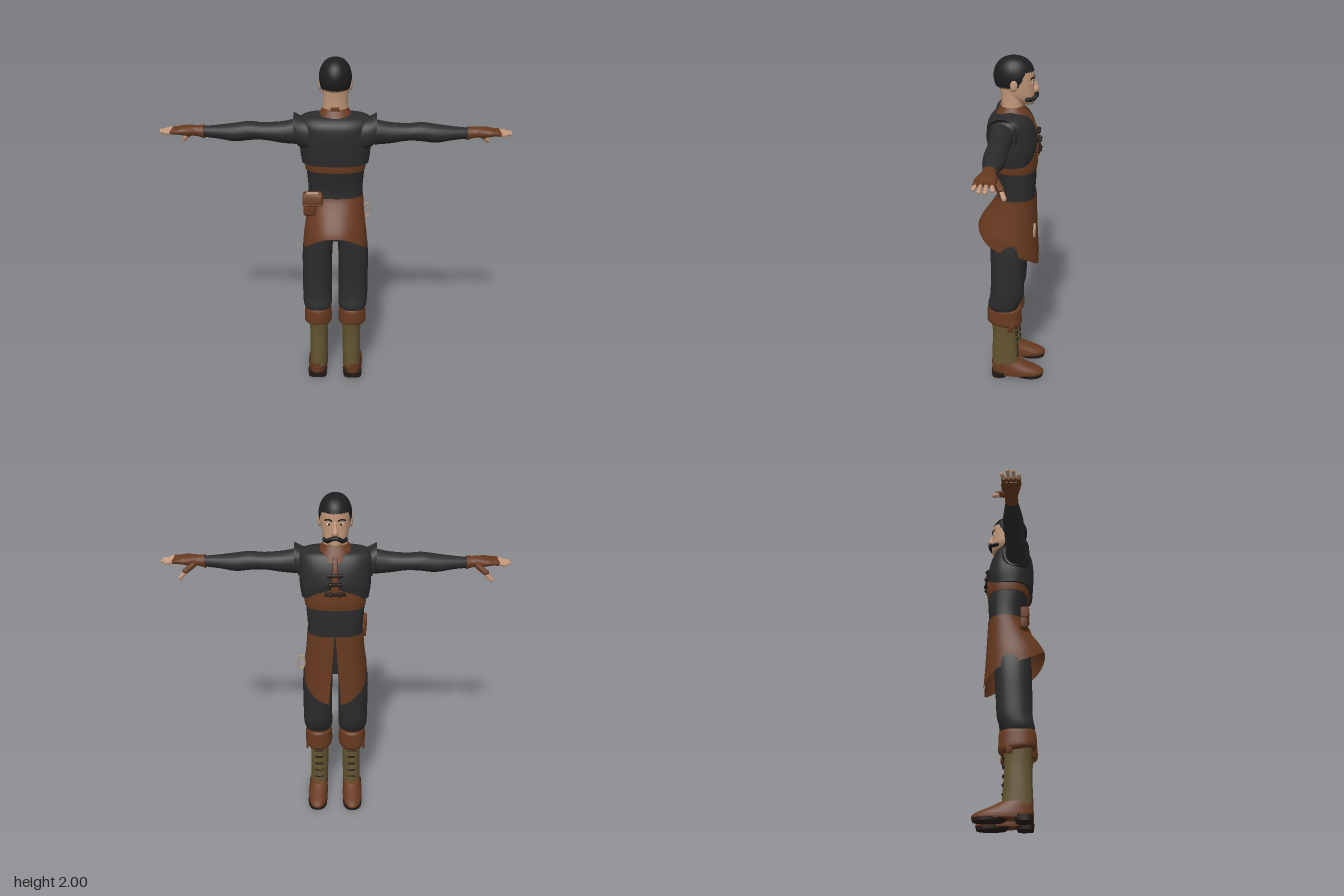
import * as THREE from 'three';
import { toCreasedNormals, mergeVertices } from 'three/addons/utils/BufferGeometryUtils.js';
import { RoundedBoxGeometry } from 'three/addons/geometries/RoundedBoxGeometry.js';

const paint = (name, color, side = THREE.FrontSide) =>
  Object.assign(new THREE.MeshStandardMaterial({ color, side }), { name });

const black = paint('black cloth', 0x2b2b2c, THREE.DoubleSide);
const brown = paint('brown leather', 0x67391f, THREE.DoubleSide);
const olive = paint('olive boot leather', 0x62542f);
const skin = paint('skin', 0xc09678);
const hairMat = paint('hair', 0x1d1d1f, THREE.DoubleSide);
const dark = paint('dark leather', 0x241a15);
const metal = paint('pale brass', 0xb2977a);
const white = paint('eye white', 0xd8d2c8);

// Smooth interpolation of ring values at t in 0..1
function sample(rings, t) {
  const f = t * (rings.length - 1), i = Math.min(Math.floor(f), rings.length - 2), u = f - i;
  const r = k => rings[Math.max(0, Math.min(rings.length - 1, k))];
  return rings[i].map((_, k) => {
    const [a, b, c, d] = [r(i - 1)[k], r(i)[k], r(i + 1)[k], r(i + 2)[k]];
    return b + 0.5 * u * (c - a + u * (2 * a - 5 * b + 4 * c - d + u * (3 * (b - c) + d - a)));
  });
}

function flip(geo) {
  const ix = geo.index.array;
  for (let i = 0; i < ix.length; i += 3) [ix[i], ix[i + 1]] = [ix[i + 1], ix[i]];
  return geo;
}

// Skin over rounded rings [y, xMin, xMax, zMin, zMax]; with axis 'x' they are [x, yMin, yMax, zMin, zMax].
// gap(t) leaves a front opening (half angle), warp(v, t, s) adjusts points (s is 1 at back, -1 at front).
function loft(rings, { seg = 28, p = 2.3, sub = 4, cap = true, gap, warp, axis } = {}) {
  const rows = (rings.length - 1) * sub, pos = [], idx = [], v = new THREE.Vector3();
  const cols = gap ? seg + 1 : seg, bend = c => Math.sign(c) * Math.abs(c) ** (2 / p);
  for (let i = 0; i <= rows; i++) {
    const t = i / rows, [y, x0, x1, z0, z1] = sample(rings, t), g = gap ? gap(t) : 0;
    for (let j = 0; j < cols; j++) {
      const a = -Math.PI / 2 + g + (j / seg) * 2 * (Math.PI - g);
      v.set((x0 + x1) / 2 + (x1 - x0) / 2 * bend(Math.cos(a)), y, (z0 + z1) / 2 + (z1 - z0) / 2 * bend(Math.sin(a)));
      if (warp) warp(v, t, Math.sin(a));
      pos.push(...(axis === 'x' ? [v.y, v.x, v.z] : [v.x, v.y, v.z]));
    }
  }
  for (let i = 0; i < rows; i++) for (let j = 0; j < seg; j++) {
    const a = i * cols + j, b = i * cols + (j + 1) % cols;
    idx.push(a, a + cols, b, b, a + cols, b + cols);
  }
  if (cap) for (const row of [0, rows]) {
    const c = pos.length / 3, m = [0, 0, 0];
    for (let j = 0; j < cols; j++) for (let k = 0; k < 3; k++) m[k] += pos[(row * cols + j) * 3 + k] / cols;
    pos.push(...m);
    for (let j = 0; j < seg; j++) {
      const a = row * cols + j, b = row * cols + (j + 1) % cols;
      idx.push(c, ...(row ? [b, a] : [a, b]));
    }
  }
  const geo = new THREE.BufferGeometry();
  geo.setAttribute('position', new THREE.Float32BufferAttribute(pos, 3));
  geo.setIndex(idx);
  return axis === 'x' ? flip(geo) : geo;
}

const ball = (x, y, z, rx, ry, rz) => new THREE.SphereGeometry(1, 18, 12).scale(rx, ry, rz).translate(x, y, z);
const box = (x, y, z, w, h, d, r = 0.004) => new RoundedBoxGeometry(w, h, d, 2, r).translate(x, y, z);
const tube = (pts, r) => new THREE.TubeGeometry(new THREE.CatmullRomCurve3(pts.map(q => new THREE.Vector3(...q))), 20, r, 8);
function finger(a, b, r) {
  const p = new THREE.Vector3(...a), q = new THREE.Vector3(...b), d = q.clone().sub(p);
  const turn = new THREE.Quaternion().setFromUnitVectors(new THREE.Vector3(0, 1, 0), d.clone().normalize());
  const mid = p.add(q).multiplyScalar(0.5);
  return new THREE.CapsuleGeometry(r, d.length() - 2 * r, 4, 10).applyQuaternion(turn).translate(mid.x, mid.y, mid.z);
}

export function createModel() {
  const model = new THREE.Group();
  model.name = 'figure';
  const add = (name, mat, geo) => {
    geo.deleteAttribute('uv');
    geo.deleteAttribute('normal');
    const mesh = new THREE.Mesh(toCreasedNormals(mergeVertices(geo, 1e-5), 0.9), mat);
    mesh.name = name;
    model.add(mesh);
  };
  const pair = (name, mat, make) => {
    add(name + 'PlusX', mat, make());
    const g = make();
    add(name + 'MinusX', mat, flip((g.index ? g : mergeVertices(g)).scale(-1, 1, 1)));
  };

  // Torso: shirt, chest band and vest
  add('hips', black, loft([[0.95, -0.13, 0.13, -0.1, 0.1], [1.06, -0.15, 0.15, -0.12, 0.1], [1.2, -0.15, 0.15, -0.125, 0.075]]));
  add('shirt', black, loft([[1.18, -0.158, 0.158, -0.13, 0.078], [1.25, -0.158, 0.158, -0.132, 0.078],
    [1.32, -0.163, 0.163, -0.136, 0.09], [1.4, -0.17, 0.17, -0.136, 0.11]], { p: 2.6 }));
  add('chestBand', brown, loft([[1.375, -0.172, 0.172, -0.14, 0.112], [1.42, -0.177, 0.177, -0.143, 0.116],
    [1.52, -0.18, 0.18, -0.132, 0.11]], { p: 2.6 }));
  add('vest', black, loft([[1.42, -0.19, 0.19, -0.134, 0.132], [1.5, -0.2, 0.2, -0.141, 0.138], [1.58, -0.2, 0.2, -0.134, 0.142],
    [1.645, -0.205, 0.205, -0.112, 0.135], [1.685, -0.18, 0.18, -0.088, 0.105], [1.707, -0.095, 0.095, -0.068, 0.078]],
  { p: 2.6, seg: 40, warp: (v, t, s) => {
    v.y += 0.09 * Math.max(0, 1 - 3 * t) * Math.max(0, -s) * (1 - Math.abs(v.x) / 0.2);
    v.y -= 0.02 * t ** 6 * Math.abs(s);
  } }));
  add('placket', brown, loft([[1.44, -0.03, 0.03, -0.15, -0.1], [1.52, -0.02, 0.02, -0.147, -0.1],
    [1.6, -0.017, 0.017, -0.137, -0.09], [1.675, -0.017, 0.017, -0.103, -0.05]], { p: 4 }));
  for (const [y, z, w] of [[1.48, -0.15, 0.12], [1.535, -0.148, 0.075], [1.585, -0.141, 0.085]]) {
    add('claspStrap', dark, box(0, y, z, w, 0.02, 0.014));
    pair('claspKnob', dark, () => ball(0.024, y, z - 0.008, 0.01, 0.013, 0.009));
  }
  add('collar', brown, loft([[1.65, -0.11, 0.11, -0.115, 0.115], [1.69, -0.095, 0.095, -0.09, 0.092],
    [1.715, -0.078, 0.078, -0.07, 0.074], [1.728, -0.07, 0.07, -0.06, 0.066]], { cap: false }));
  add('collarTab', brown, box(0, 1.728, 0.064, 0.05, 0.025, 0.012));

  // Split skirt with a hem that drops towards the front
  add('skirt', brown, loft([[1.21, -0.162, 0.162, -0.138, 0.084], [1.15, -0.167, 0.167, -0.142, 0.11], [1.1, -0.175, 0.175, -0.147, 0.145],
    [1, -0.186, 0.186, -0.153, 0.18], [0.9, -0.19, 0.19, -0.16, 0.204]],
  { cap: false, seg: 48, p: 2.4, gap: t => 0.01 + 0.12 * t, warp: (v, t, s) => {
    v.y = 1.21 + (0.89 + 0.06 * s + 0.06 * s ** 3 - 1.21) * t;
  } }).scale(1, 1, 1));

  // Sleeves, shoulder wings and half-fingered gloves
  pair('sleeve', black, () => loft([[0.14, 1.53, 1.675, -0.02, 0.11], [0.22, 1.53, 1.67, -0.02, 0.11], [0.3, 1.537, 1.655, -0.015, 0.106],
    [0.4, 1.552, 1.648, -0.015, 0.1], [0.48, 1.55, 1.654, -0.017, 0.1], [0.56, 1.542, 1.644, -0.015, 0.1],
    [0.66, 1.558, 1.632, 0, 0.086], [0.745, 1.566, 1.625, 0.014, 0.072]], { axis: 'x', p: 2, seg: 20 }));
  pair('shoulderWing', black, () => loft([[0.15, 1.5, 1.675, -0.05, 0.125], [0.19, 1.5, 1.685, -0.045, 0.125],
    [0.228, 1.52, 1.707, -0.035, 0.122]], { axis: 'x', cap: false, warp: v => { v.y -= Math.max(0, 1.64 - v.x) * 0.2; } }));
  pair('glove', brown, () => loft([[0.73, 1.558, 1.632, 0.008, 0.08], [0.77, 1.572, 1.63, 0.01, 0.08], [0.82, 1.576, 1.63, -0.004, 0.094],
    [0.86, 1.583, 1.625, -0.004, 0.102], [0.885, 1.588, 1.618, 0.002, 0.098]], { axis: 'x', p: 2.5, seg: 20 }));
  [[0.003, 0.955], [0.034, 0.982], [0.065, 0.976], [0.094, 0.945]].forEach(([z, tip], i) => {
    const z0 = 0.016 + i * 0.023;
    pair('gloveFinger', brown, () => finger([0.85, 1.604, z0], [0.915, 1.603, (z + z0) / 2], 0.0135));
    pair('finger', skin, () => finger([0.88, 1.604, z0], [tip, 1.597, z], 0.0105));
  });
  pair('gloveThumb', brown, () => finger([0.78, 1.595, 0.015], [0.848, 1.552, -0.028], 0.0165));
  pair('thumb', skin, () => finger([0.82, 1.57, -0.012], [0.872, 1.518, -0.043], 0.012));

  // Trousers and boots
  pair('trouserLeg', black, () => loft([[0.48, 0.04, 0.175, -0.03, 0.125], [0.515, 0.02, 0.192, -0.048, 0.14], [0.58, 0.02, 0.197, -0.072, 0.128],
    [0.7, 0.02, 0.197, -0.08, 0.122], [0.85, 0.018, 0.196, -0.09, 0.122], [0.98, 0.008, 0.182, -0.1, 0.12], [1.1, 0, 0.15, -0.11, 0.1]]));
  pair('bootCuff', brown, () => loft([[0.385, 0.028, 0.178, -0.05, 0.138], [0.4, 0.02, 0.189, -0.064, 0.148], [0.45, 0.022, 0.187, -0.063, 0.148],
    [0.495, 0.027, 0.183, -0.06, 0.142], [0.498, 0.04, 0.17, -0.045, 0.13]], { warp: (v, t, s) => { v.y += 0.018 * s * (1 - t); } }));
  pair('cuffTab', brown, () => box(0.178, 0.39, 0.0, 0.012, 0.07, 0.035));
  pair('bootShaft', olive, () => loft([[0.08, 0.05, 0.158, -0.045, 0.122], [0.2, 0.047, 0.157, -0.037, 0.119],
    [0.32, 0.045, 0.157, -0.032, 0.116], [0.43, 0.038, 0.164, -0.04, 0.13]]));
  for (let i = 0; i < 5; i++)
    pair('bootLace', dark, () => box(0.102, 0.15 + i * 0.05, -0.037 + i * 0.001, 0.05, 0.011, 0.014));
  pair('bootFoot', brown, () => loft([[0.018, 0.05, 0.172, -0.2, 0.118], [0.035, 0.048, 0.173, -0.204, 0.121], [0.055, 0.05, 0.17, -0.175, 0.122],
    [0.085, 0.052, 0.163, -0.1, 0.123], [0.105, 0.052, 0.158, -0.06, 0.123]], { p: 2.2 }));
  pair('bootSole', dark, () => loft([[0.004, 0.052, 0.17, -0.198, -0.03], [0.022, 0.05, 0.172, -0.203, -0.01]], { sub: 1 }));
  pair('bootHeel', dark, () => loft([[0, 0.054, 0.168, 0.03, 0.12], [0.034, 0.05, 0.17, 0.02, 0.124]], { sub: 1, p: 3.5 }));

  // Head and face
  add('neck', skin, loft([[1.64, -0.085, 0.085, -0.07, 0.08], [1.7, -0.073, 0.073, -0.058, 0.066], [1.76, -0.069, 0.069, -0.06, 0.064],
    [1.83, -0.07, 0.07, -0.06, 0.07]]));
  add('head', skin, loft([[1.737, -0.026, 0.026, -0.116, -0.05], [1.752, -0.048, 0.048, -0.122, -0.01], [1.785, -0.068, 0.068, -0.121, 0.04],
    [1.83, -0.077, 0.077, -0.119, 0.075], [1.88, -0.081, 0.081, -0.118, 0.092], [1.93, -0.079, 0.079, -0.112, 0.092],
    [1.97, -0.055, 0.055, -0.075, 0.06], [1.985, -0.02, 0.02, -0.03, 0.03]], { p: 2.2 }));
  add('nose', skin, loft([[1.803, -0.013, 0.013, -0.131, -0.1], [1.818, -0.018, 0.018, -0.148, -0.1],
    [1.85, -0.01, 0.01, -0.134, -0.1], [1.88, -0.009, 0.009, -0.119, -0.1]], { seg: 14, p: 2 }));
  add('moustache', hairMat, tube([[-0.058, 1.772, -0.085], [-0.042, 1.772, -0.112], [-0.02, 1.788, -0.13], [0, 1.793, -0.132],
    [0.02, 1.788, -0.13], [0.042, 1.772, -0.112], [0.058, 1.772, -0.085]], 0.012));
  pair('moustacheTip', hairMat, () => ball(0.056, 1.773, -0.088, 0.012, 0.013, 0.018));
  pair('ear', skin, () => ball(0.084, 1.853, -0.012, 0.011, 0.033, 0.021));
  pair('eye', white, () => ball(0.032, 1.864, -0.109, 0.014, 0.007, 0.006));
  pair('pupil', dark, () => ball(0.032, 1.864, -0.114, 0.006, 0.006, 0.0025));
  pair('eyebrow', hairMat, () => tube([[0.014, 1.882, -0.117], [0.034, 1.889, -0.112], [0.054, 1.882, -0.098]], 0.0045));

  // Hair cap: a dome whose lower edge is high on the forehead and low at the nape
  const hair = new THREE.SphereGeometry(1, 40, 20), hp = hair.attributes.position, v = new THREE.Vector3();
  for (let i = 0; i < hp.count; i++) {
    v.fromBufferAttribute(hp, i);
    const around = Math.atan2(v.z, v.x), s = Math.sin(around);
    const edge = s > -0.25 ? 2.2 : 2.2 - 0.85 * Math.min(1, (-0.25 - s) / 0.35);
    const th = Math.acos(THREE.MathUtils.clamp(v.y, -1, 1)) * edge / Math.PI, r = Math.sin(th) ** 0.85;
    hp.setXYZ(i, 0.09 * Math.cos(around) * r, 1.893 + 0.107 * Math.cos(th), -0.007 + 0.113 * s * r);
  }
  add('hair', hairMat, hair);

  // Belt pouch with stitched flap, and a hanging ring
  add('pouchBody', brown, box(-0.145, 1.155, 0.085, 0.075, 0.09, 0.045, 0.015));
  add('pouchFlap', brown, box(-0.128, 1.212, 0.09, 0.115, 0.08, 0.05, 0.012));
  for (let i = 0; i < 7; i++) for (const y of [1.182, 1.24])
    add('pouchStitch', metal, box(-0.173 + i * 0.015, y, 0.1155, 0.008, 0.004, 0.004, 0.001));
  add('pouchBuckle', metal, box(-0.128, 1.252, 0.1, 0.07, 0.006, 0.03, 0.002));
  add('hangingRing', metal, new THREE.TorusGeometry(0.04, 0.006, 8, 32).scale(0.52, 1, 1).translate(0.192, 1.055, -0.14));
  return model;
}
